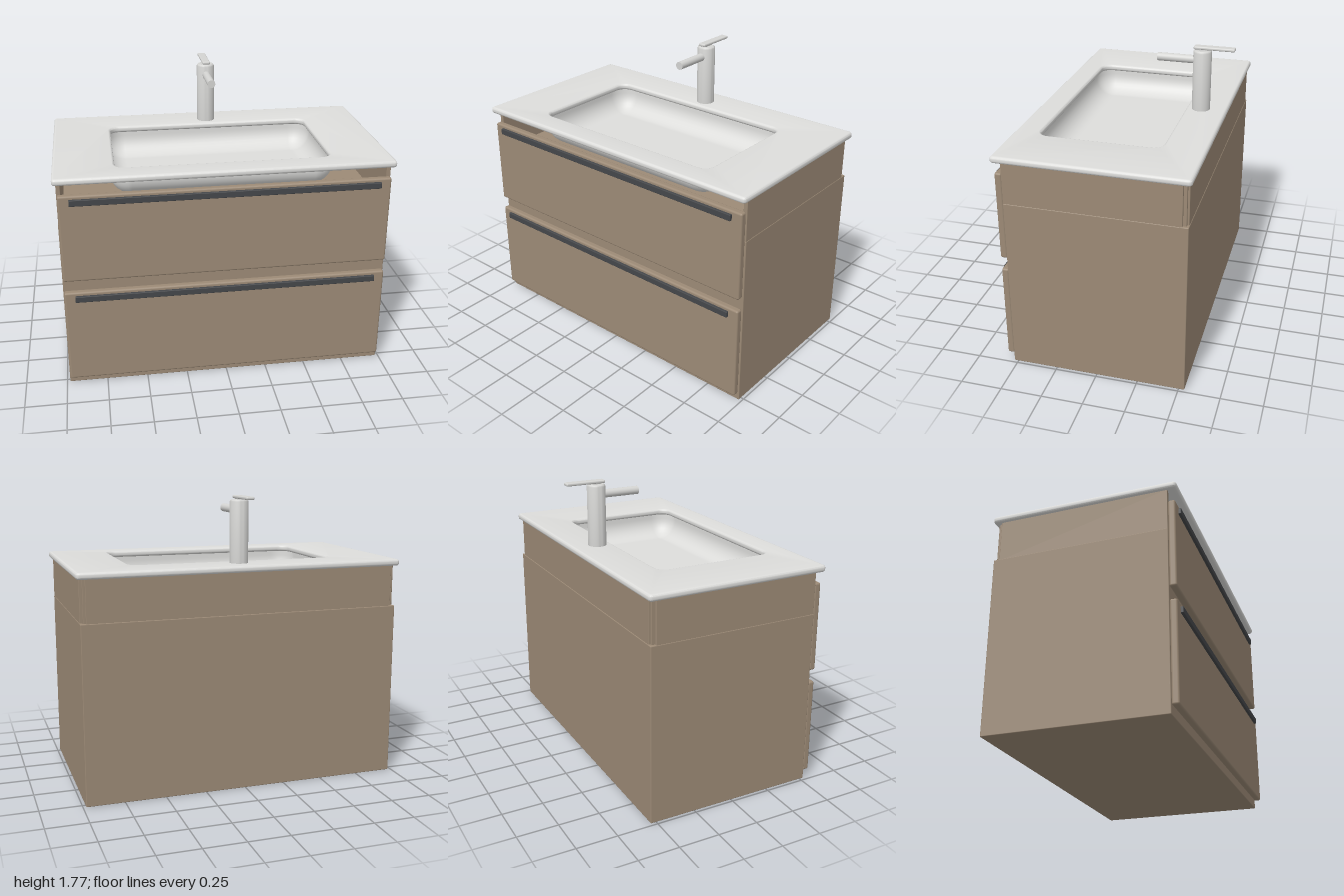
import * as THREE from 'three';
import { toCreasedNormals } from 'three/addons/utils/BufferGeometryUtils.js';
import { RoundedBoxGeometry } from 'three/addons/geometries/RoundedBoxGeometry.js';

const material = (name, color, side = THREE.FrontSide) => {
  const m = new THREE.MeshStandardMaterial({ color, side });
  m.name = name;
  return m;
};

// Outline points of a rounded rectangle, given half sizes and corner radius
function roundedRect(hx, hy, r, cy = 0, steps = 8) {
  const pts = [];
  for (let q = 0; q < 4; q++) {
    const sx = q === 0 || q === 3 ? 1 : -1, sy = q < 2 ? 1 : -1;
    for (let i = 0; i <= steps; i++) {
      const a = (q + i / steps) * Math.PI / 2;
      pts.push(new THREE.Vector2(sx * (hx - r) + r * Math.cos(a), cy + sy * (hy - r) + r * Math.sin(a)));
    }
  }
  return pts;
}

// Countertop slab with soft edges and a rounded opening
function countertopGeometry() {
  const bevel = 0.015;
  const shape = new THREE.Shape(roundedRect(1 - bevel, 0.565 - bevel, 0.006, -0.015, 3));
  shape.holes.push(new THREE.Path(roundedRect(0.64 + bevel, 0.365 + bevel, 0.075, -0.065)));
  const g = new THREE.ExtrudeGeometry(shape, {
    depth: 0.01, bevelEnabled: true, bevelThickness: bevel, bevelSize: bevel, bevelSegments: 4,
  });
  g.rotateX(-Math.PI / 2);
  g.translate(0, 1.33 + bevel, 0);
  return toCreasedNormals(g, 0.6);
}

// Basin bowl: straight wall, then a round fillet into a flat floor
function basinGeometry() {
  const R = 0.12, floor = 1.18, sections = [[0, 1.34]];
  for (let i = 0; i <= 8; i++) {
    const a = i / 8 * Math.PI / 2;
    sections.push([R * (1 - Math.cos(a)), floor + R * (1 - Math.sin(a))]);
  }
  const pos = [], index = [];
  let n = 0;
  for (const [inset, y] of sections) {
    const ring = roundedRect(0.67 - inset, 0.395 - inset, 0.125 - inset, 0.065);
    n = ring.length;
    for (const p of ring) pos.push(p.x, y, p.y);
  }
  for (let s = 0; s < sections.length - 1; s++) {
    for (let i = 0; i < n; i++) {
      const a = s * n + i, b = s * n + (i + 1) % n;
      index.push(a, b, a + n, b, b + n, a + n);
    }
  }
  const last = (sections.length - 1) * n, centre = pos.length / 3;
  pos.push(0, floor, 0.065);
  for (let i = 0; i < n; i++) index.push(last + i, last + (i + 1) % n, centre);
  const g = new THREE.BufferGeometry();
  g.setAttribute('position', new THREE.Float32BufferAttribute(pos, 3));
  g.setIndex(index);
  g.computeVertexNormals();
  return g;
}

export function createModel() {
  const wood = material('brown wood', 0x9c8a76);
  const ceramic = material('white ceramic', 0xdddddb);
  const bowl = material('white basin', 0xdddddb, THREE.DoubleSide);
  const metal = material('faucet metal', 0xd4d4d2);
  const dark = material('dark handle', 0x45474a);

  const model = new THREE.Group();
  model.name = 'washbasinCabinet';
  const add = (name, geometry, mat, parent = model) => {
    const mesh = new THREE.Mesh(geometry, mat);
    mesh.name = name;
    parent.add(mesh);
    return mesh;
  };
  // Softened box between two corners
  const box = (name, mat, [x0, x1], [y0, y1], [z0, z1], r, parent) => {
    const g = new RoundedBoxGeometry(x1 - x0, y1 - y0, z1 - z0, 3, r);
    g.translate((x0 + x1) / 2, (y0 + y1) / 2, (z0 + z1) / 2);
    return add(name, g, mat, parent);
  };

  // Cabinet body with an open-fronted upper frame
  box('cabinetBody', wood, [-0.982, 0.982], [0, 1.08], [-0.535, 0.525], 0.005);
  for (const s of [-1, 1]) {
    const side = s > 0 ? 'left' : 'right';
    const outer = [s * 0.955, s * 0.98].sort((a, b) => a - b);
    const post = [s * 0.94, s * 0.965].sort((a, b) => a - b);
    box(side + 'UpperPanel', wood, outer, [1.07, 1.335], [-0.5, 0.524], 0.003);
    box(side + 'BackPost', wood, post, [1.07, 1.335], [-0.52, -0.48], 0.003);
  }
  box('backUpperPanel', wood, [-0.95, 0.95], [1.07, 1.335], [-0.532, -0.505], 0.003);

  // Two drawers with long bar handles
  for (const [name, y0, y1, hy] of [['lower', 0.05, 0.645, 0.605], ['upper', 0.72, 1.262, 1.223]]) {
    const drawer = new THREE.Group();
    drawer.name = name + 'Drawer';
    model.add(drawer);
    box('drawerFront', wood, [-0.976, 0.976], [y0, y1], [0.524, 0.567], 0.012, drawer);
    box('handle', dark, [-0.912, 0.912], [hy - 0.019, hy + 0.019], [0.555, 0.583], 0.004, drawer);
  }

  add('countertop', countertopGeometry(), ceramic);
  add('basin', basinGeometry(), bowl);

  // Faucet: upright body, straight spout and flat lever
  const faucet = new THREE.Group();
  faucet.name = 'faucet';
  faucet.position.z = -0.39;
  model.add(faucet);
  const profile = [[0, 1.365], [0.056, 1.365], [0.056, 1.733], [0.053, 1.741], [0.046, 1.746], [0, 1.746]]
    .map(([x, y]) => new THREE.Vector2(x, y));
  add('faucetBody', toCreasedNormals(new THREE.LatheGeometry(profile, 40), 0.6), metal, faucet);
  const spout = add('spout', new THREE.CylinderGeometry(0.025, 0.025, 0.25, 28), metal, faucet);
  spout.rotation.x = Math.PI / 2;
  spout.position.set(0, 1.682, 0.15);
  box('leverNeck', metal, [-0.018, 0.018], [1.74, 1.756], [-0.03, 0.03], 0.004, faucet);
  box('lever', metal, [-0.025, 0.025], [1.75, 1.769], [-0.197, 0.052], 0.008, faucet);

  return model;
}
